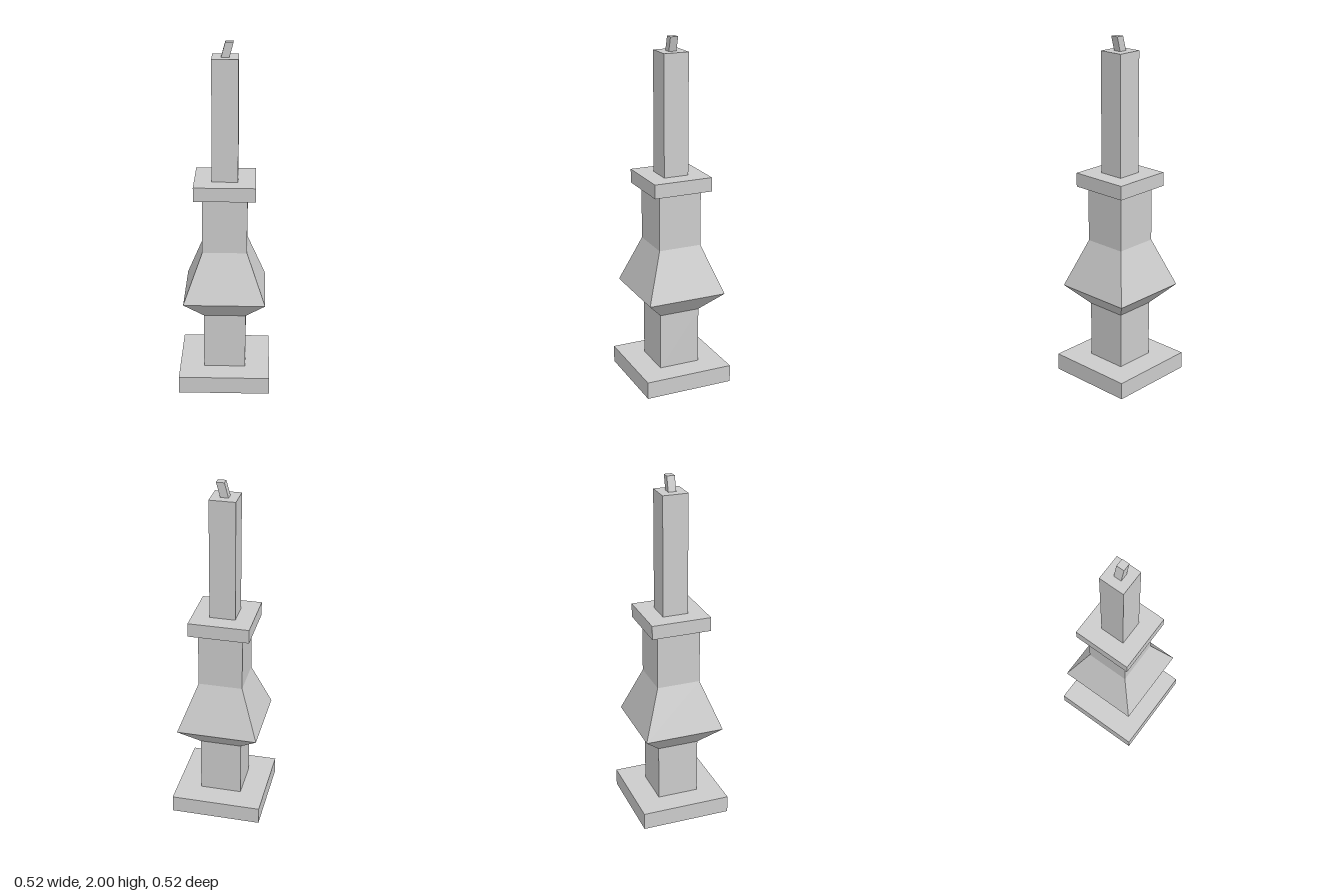
import * as THREE from 'three';

const material = new THREE.MeshStandardMaterial({ color: 0xcccccc, flatShading: true });

// Square block or frustum given by half-widths at its bottom and top heights
function squareBlock(name, bottomHalf, topHalf, y0, y1, open = false) {
  const geometry = new THREE.CylinderGeometry(
    topHalf * Math.SQRT2, bottomHalf * Math.SQRT2, y1 - y0, 4, 1, open, Math.PI / 4);
  geometry.translate(0, (y0 + y1) / 2, 0);
  const mesh = new THREE.Mesh(geometry, material);
  mesh.name = name;
  return mesh;
}

export function createModel() {
  const group = new THREE.Group();
  group.name = 'candlestick';

  // Holder: foot, stem with a flared knop, and drip plate
  group.add(
    squareBlock('base', 0.26, 0.26, 0, 0.1),
    squareBlock('lowerStem', 0.12, 0.12, 0.1, 0.43, true),
    squareBlock('knopUnderside', 0.12, 0.231, 0.43, 0.547, true),
    squareBlock('knopShoulder', 0.231, 0.126, 0.547, 0.826, true),
    squareBlock('upperStem', 0.126, 0.126, 0.826, 1.15, true),
    squareBlock('dripPlate', 0.172, 0.172, 1.15, 1.23),
  );

  // Candle
  group.add(squareBlock('candle', 0.073, 0.073, 1.23, 1.918));

  // Wick, sheared so that it leans to +x
  const wick = squareBlock('wick', 0.0225, 0.0225, 1.918, 2);
  const shear = new THREE.Matrix4().makeShear(0, 0, 0.0225 / 0.082, 0, 0, 0);
  wick.geometry.translate(0, -1.918, 0).applyMatrix4(shear).translate(0, 1.918, 0);
  group.add(wick);

  return group;
}
